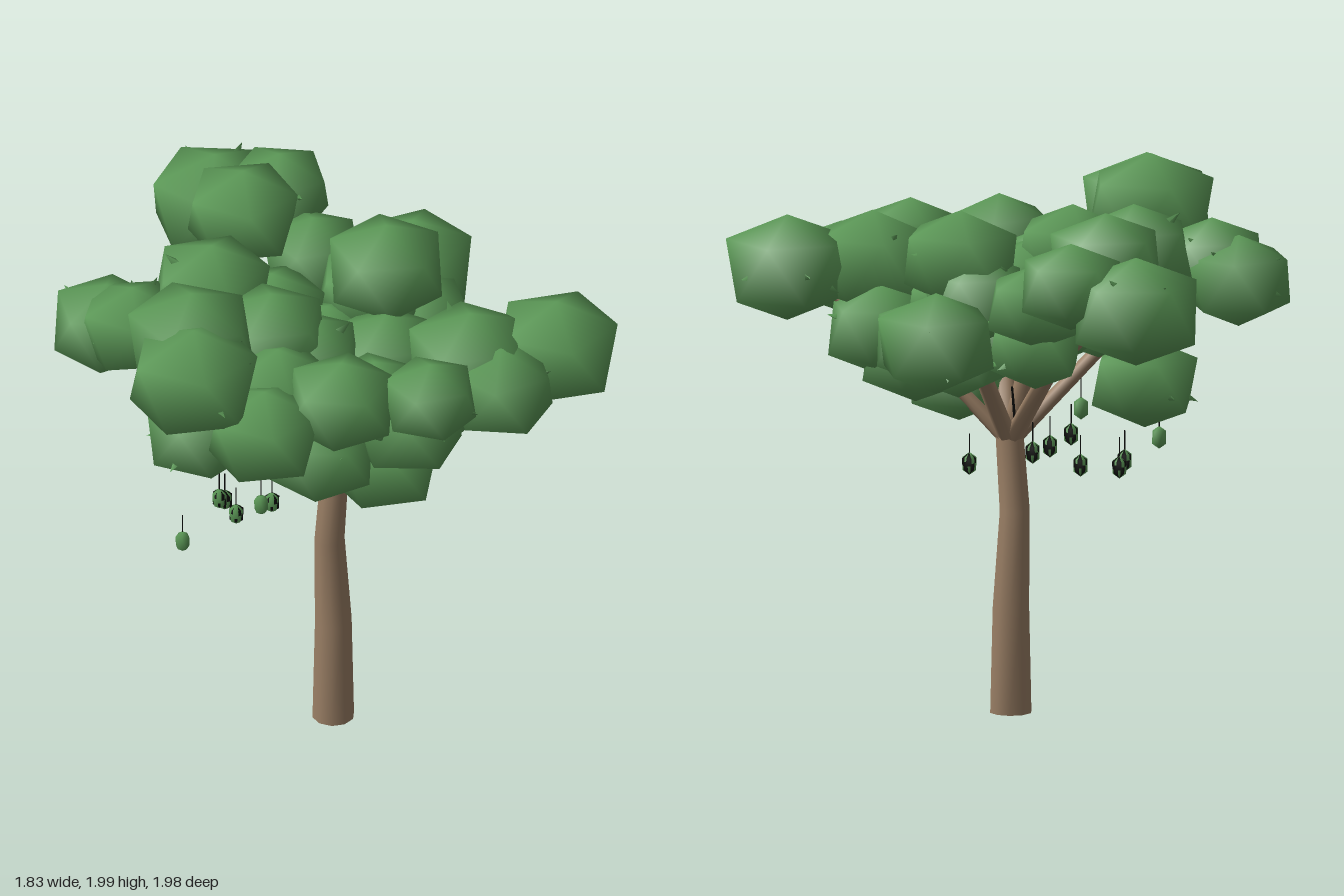
import * as THREE from 'three';
import { mergeVertices } from 'three/addons/utils/BufferGeometryUtils.js';

const mat = (name, color, side = THREE.FrontSide) => {
  const m = new THREE.MeshStandardMaterial({ color, side });
  m.name = name;
  return m;
};

// small seeded random generator
function seeded(seed) {
  let s = seed;
  return () => (s = (s * 16807) % 2147483647) / 2147483647;
}

// icosahedron standing on one corner, with fuller shoulders and smooth normals
function smoothClump() {
  const g = new THREE.IcosahedronGeometry(1, 0);
  g.deleteAttribute('normal');
  g.deleteAttribute('uv');
  const m = mergeVertices(g, 1e-3);
  m.rotateZ(-Math.atan(2 / (1 + Math.sqrt(5))));
  const p = m.attributes.position;
  for (let i = 0; i < p.count; i++) {
    if (Math.abs(p.getY(i)) < 0.9) p.setY(i, p.getY(i) * 1.2);
  }
  m.computeVertexNormals();
  return m;
}

// open tapering tube through rings [x, y, z, radius]
function limb(rings, sides) {
  const pos = [], idx = [];
  rings.forEach(([x, y, z, r], i) => {
    for (let k = 0; k < sides; k++) {
      const a = (k / sides) * Math.PI * 2;
      pos.push(x + r * Math.cos(a), y, z + r * Math.sin(a));
      if (i === 0) continue;
      const n = (k + 1) % sides, lo = (i - 1) * sides, hi = i * sides;
      idx.push(lo + k, hi + k, lo + n, lo + n, hi + k, hi + n);
    }
  });
  const g = new THREE.BufferGeometry();
  g.setAttribute('position', new THREE.Float32BufferAttribute(pos, 3));
  g.setIndex(idx);
  g.computeVertexNormals();
  return g;
}

export function createModel() {
  const tree = new THREE.Group();
  tree.name = 'tree';
  const bark = mat('bark brown', 0x9a7f65, THREE.DoubleSide);
  const green = mat('leaf green', 0x5c9957);
  const black = mat('stem black', 0x0a0b09);
  const rand = seeded(41);

  const add = (parent, name, geo, material) => {
    const mesh = new THREE.Mesh(geo, material);
    mesh.name = name;
    parent.add(mesh);
    return mesh;
  };

  // trunk
  add(tree, 'trunk', limb([
    [-0.002, 0.008, 0.108, 0.077], [0.015, 0.4, 0.094, 0.068],
    [0.003, 0.75, 0.086, 0.056], [0.014, 1.04, 0.102, 0.052],
  ], 10), bark);

  // branches fanning out from the trunk top, bending outward halfway
  const branches = new THREE.Group();
  branches.name = 'branches';
  tree.add(branches);
  const tips = [
    [0.36, 1.64, -0.66], [0.62, 1.52, -0.08], [0.42, 1.58, 0.7], [-0.3, 1.6, 0.42],
    [-0.62, 1.72, 0], [-0.43, 1.62, -0.52], [0.05, 1.6, -0.15],
  ];
  for (const [x, y, z] of tips) {
    const at = (t, lift, r) =>
      [0.014 + (x - 0.014) * t, 1.0 + (y - 1.0) * t + lift, 0.1 + (z - 0.1) * t, r];
    add(branches, 'branch', limb([at(0, 0, 0.038), at(0.4, 0.08, 0.034), at(1, 0, 0.018)], 6), bark);
  }

  // thin dark twigs in the crotch
  for (const [x, z] of [[0.05, 0.13], [-0.01, 0.06], [0.04, 0.05]]) {
    add(branches, 'darkTwig', limb([[x, 1.03, z, 0.008], [x * 1.6, 1.22, z, 0.005]], 4), black);
  }

  // foliage clumps: x, y, z, horizontal radius
  const clumps = [
    // back
    [0.385, 1.65, -0.775, 0.225], [0.24, 1.78, -0.52, 0.2], [0.49, 1.73, -0.56, 0.18],
    [0.39, 1.61, -0.32, 0.175], [0.08, 1.54, -0.25, 0.19], [-0.15, 1.72, -0.34, 0.21],
    [-0.45, 1.66, -0.46, 0.185], [-0.44, 1.61, -0.59, 0.19], [-0.3, 1.22, -0.27, 0.19],
    // left and right sides
    [0.705, 1.5, -0.11, 0.21], [0.35, 1.73, 0.06, 0.205], [0.36, 1.6, -0.02, 0.19],
    [0.5, 1.45, 0.1, 0.18], [-0.55, 1.8, -0.1, 0.225], [-0.69, 1.76, 0.03, 0.23],
    [-0.57, 1.56, 0.26, 0.2], [-0.2, 1.68, -0.02, 0.2], [-0.1, 1.58, 0.08, 0.18],
    // front
    [0.46, 1.63, 0.768, 0.22], [0.2, 1.63, 0.58, 0.22], [0.17, 1.59, 0.75, 0.19],
    [-0.13, 1.66, 0.67, 0.165], [-0.34, 1.65, 0.43, 0.19], [-0.12, 1.55, 0.4, 0.17],
    // lower layer
    [-0.02, 1.22, 0.36, 0.2], [0.32, 1.42, 0.45, 0.19], [0.27, 1.33, 0.33, 0.19],
    [-0.3, 1.36, 0.3, 0.19], [-0.05, 1.45, 0.5, 0.2], [0.18, 1.5, 0.2, 0.19],
    // inner filling
    [0.15, 1.45, -0.05, 0.19], [-0.1, 1.5, -0.12, 0.18], [-0.35, 1.6, 0.14, 0.18],
    [0.31, 1.37, 0.1, 0.18], [0.32, 1.44, -0.26, 0.17], [0.03, 1.5, -0.32, 0.15],
  ];
  const foliage = new THREE.Group();
  foliage.name = 'foliage';
  tree.add(foliage);
  const clumpGeo = smoothClump();
  const leafGeo = new THREE.ConeGeometry(0.026, 0.075, 3);
  const up = new THREE.Vector3(0, 1, 0);
  for (const [x, y, z, r] of clumps) {
    const clump = add(foliage, 'leafClump', clumpGeo, green);
    clump.position.set(x, y, z);
    clump.scale.set(r / 0.89, r * 0.88, r / 0.89);
    clump.rotation.y = rand() * Math.PI * 2;

    // stray pointed leaves on the clump
    for (let i = 0; i < 3; i++) {
      const a = rand() * Math.PI * 2, h = rand() * 1.2 - 0.5;
      const c = Math.sqrt(1 - h * h);
      const dir = new THREE.Vector3(c * Math.cos(a), h, c * Math.sin(a));
      const leaf = add(foliage, 'leaf', leafGeo, green);
      leaf.position.set(x, y, z).addScaledVector(dir, r * 0.9);
      leaf.quaternion.setFromUnitVectors(up, dir);
    }
  }

  // hanging fruit on thin stems: x, y, z, and 1 where the fruit is blotched dark
  const fruits = [
    [-0.585, 0.95, -0.11, 0], [-0.5, 1.1, 0.07, 1], [-0.36, 1.07, 0.07, 0],
    [-0.24, 1.0, 0.02, 1], [-0.26, 0.93, -0.21, 1], [-0.23, 0.91, -0.21, 1],
    [0.215, 1.01, -0.385, 1], [0.285, 0.97, 0.07, 1], [0.36, 1.1, -0.36, 1],
    [0.41, 1.08, -0.32, 1],
  ];
  const stemGeo = new THREE.CylinderGeometry(0.003, 0.003, 0.1, 4);
  for (const [x, y, z, dark] of fruits) {
    const fruit = new THREE.Group();
    fruit.name = 'hangingFruit';
    fruit.position.set(x, y, z);
    tree.add(fruit);
    add(fruit, 'fruit', clumpGeo, green).scale.set(0.029, 0.042, 0.029);
    add(fruit, 'stem', stemGeo, black).position.y = 0.06;
    if (dark) {
      const blotch = add(fruit, 'darkBlotches', clumpGeo, black);
      blotch.scale.set(0.029, 0.041, 0.029);
      blotch.position.x = 0.002;
      blotch.rotation.y = Math.PI / 5;
    }
  }
  return tree;
}
